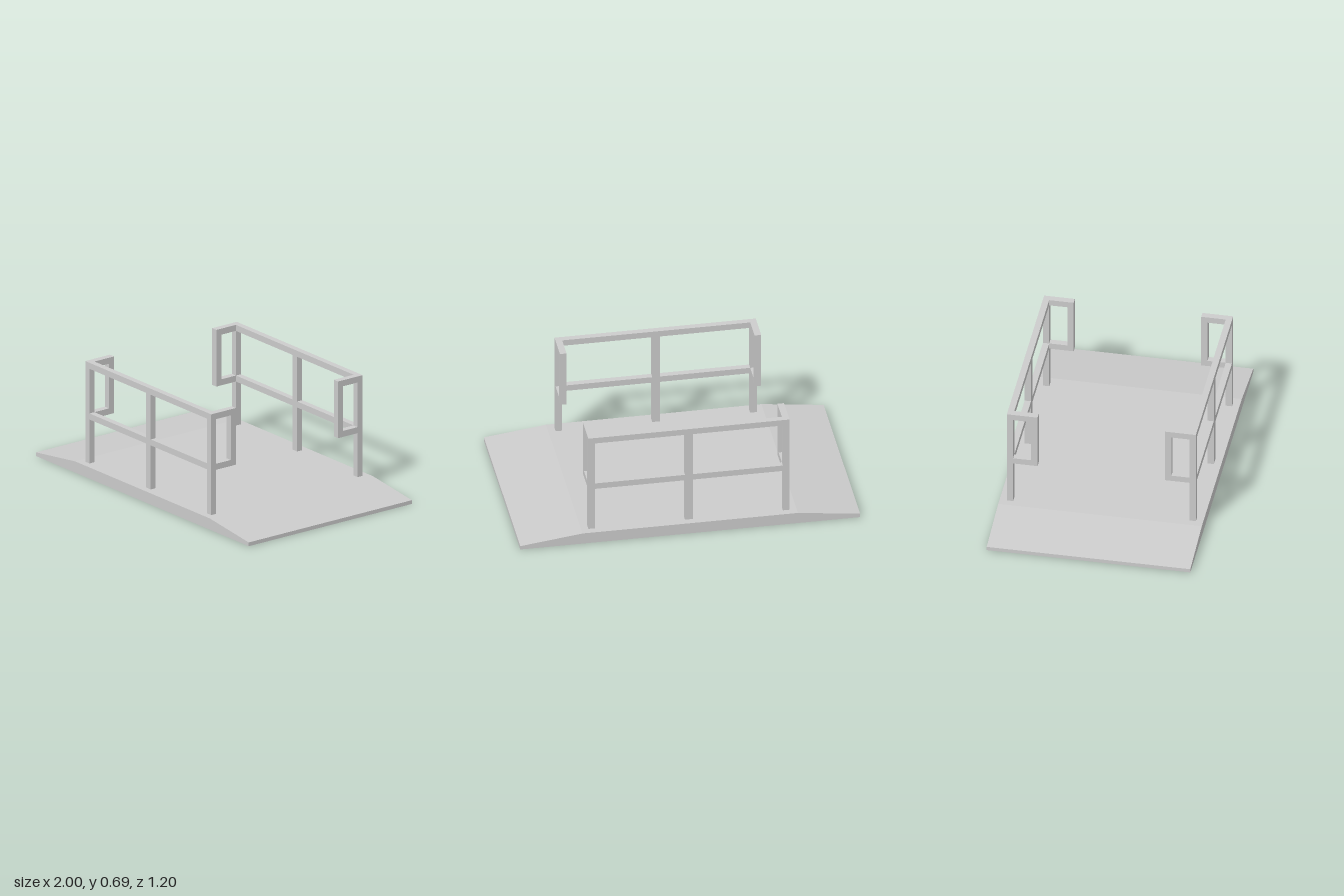
import * as THREE from 'three';

const material = new THREE.MeshStandardMaterial({ color: 0xcccccc, flatShading: true });

// Box given by its min and max extent on each axis
function bar(name, [x0, x1], [y0, y1], [z0, z1]) {
  const geometry = new THREE.BoxGeometry(x1 - x0, y1 - y0, z1 - z0);
  geometry.translate((x0 + x1) / 2, (y0 + y1) / 2, (z0 + z1) / 2);
  const mesh = new THREE.Mesh(geometry, material);
  mesh.name = name;
  return mesh;
}

// Deck with a ramp at each end
function createDeck() {
  const profile = new THREE.Shape([
    [-1, 0], [1, 0], [1, 0.023], [0.634, 0.069], [-0.634, 0.069], [-1, 0.023],
  ].map(([x, y]) => new THREE.Vector2(x, y)));
  const geometry = new THREE.ExtrudeGeometry(profile, { depth: 1.2, bevelEnabled: false });
  geometry.translate(0, 0, -0.6);
  const deck = new THREE.Mesh(geometry, material);
  deck.name = 'rampedDeck';
  return deck;
}

// One railing along the edge at +z, with a return loop at each end
function createRailing(name) {
  const railing = new THREE.Group();
  railing.name = name;
  const outer = 0.592, inner = 0.553, floor = 0.069;
  const topRail = [0.65, 0.687], midRail = [0.339, 0.376];
  const depth = [0.52, 0.557];

  railing.add(bar('topRail', [-inner, inner], topRail, depth));
  railing.add(bar('middlePost', [-0.023, 0.023], [floor, topRail[0]], depth));
  for (const side of [-1, 1]) {
    const span = side > 0 ? [inner, outer] : [-outer, -inner];
    const gap = side > 0 ? [0.023, inner] : [-inner, -0.023];
    railing.add(
      bar('endPost', span, [floor, topRail[1]], depth),
      bar('midRail', gap, midRail, depth),
      bar('returnTop', span, topRail, [0.413, depth[0]]),
      bar('returnBottom', span, midRail, [0.413, depth[0]]),
      bar('returnUpright', span, [midRail[0], topRail[1]], [0.376, 0.413]),
    );
  }
  return railing;
}

export function createModel() {
  const model = new THREE.Group();
  model.name = 'rampBridge';
  const back = createRailing('backRailing');
  back.rotation.y = Math.PI;
  model.add(createDeck(), createRailing('frontRailing'), back);
  return model;
}
